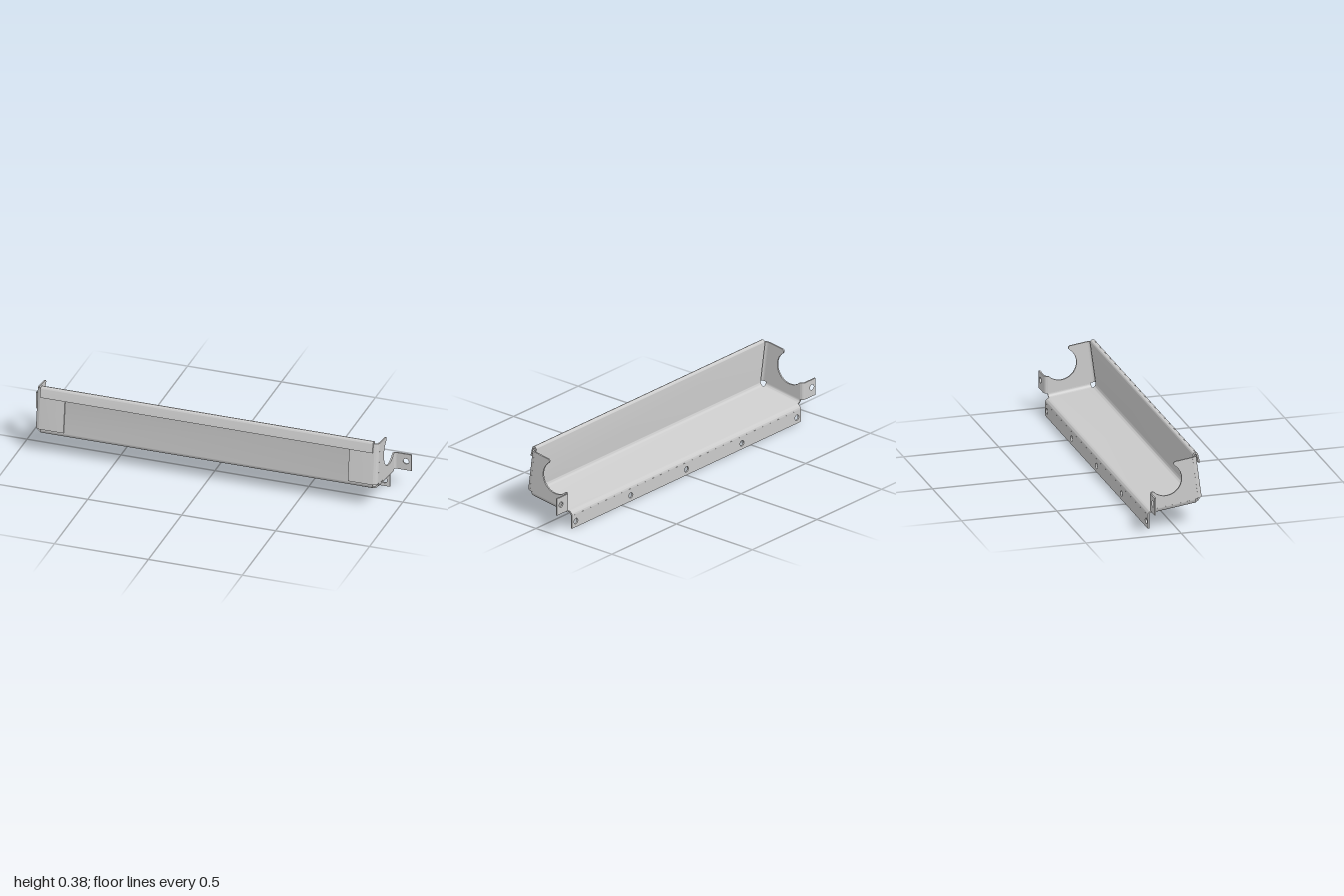
import * as THREE from 'three';
import { toCreasedNormals } from 'three/addons/utils/BufferGeometryUtils.js';

const T = 0.008;                                  // sheet thickness
const TILT = THREE.MathUtils.degToRad(7.6);       // slope of the tray
const HALF = 0.885;                               // half length of the main sheet
const material = new THREE.MeshStandardMaterial({ color: 0xcccccc });

const v = (x, y) => new THREE.Vector2(x, y);
// Tray coordinates (depth, height) to world (z, y)
const tilt = (z, y) => v(z, y).rotateAround(v(0, 0), TILT);

function arc(cx, cy, r, fromDeg, toDeg) {
  const n = Math.max(4, Math.ceil(Math.abs(toDeg - fromDeg) / 7));
  return Array.from({ length: n + 1 }, (_, i) => {
    const a = THREE.MathUtils.degToRad(fromDeg + (toDeg - fromDeg) * i / n);
    return v(cx + r * Math.cos(a), cy + r * Math.sin(a));
  });
}

// Thickens a centre line into a closed sheet-metal cross-section
function sheet(path) {
  const a = [], b = [];
  path.forEach((p, i) => {
    const d = path[Math.min(i + 1, path.length - 1)].clone().sub(path[Math.max(i - 1, 0)]).normalize();
    const n = v(-d.y, d.x).multiplyScalar(T / 2);
    a.push(p.clone().add(n));
    b.unshift(p.clone().sub(n));
  });
  return new THREE.Shape([...a, ...b]);
}

// Extrusion centred on the shape's plane
function extrude(shape, depth) {
  const g = new THREE.ExtrudeGeometry(shape, { depth, bevelEnabled: false, curveSegments: 16 });
  return g.translate(0, 0, -depth / 2);
}
const alongX = (shape, depth) => extrude(shape, depth).rotateY(-Math.PI / 2);
const alongY = (shape, y0, y1) => extrude(shape, y1 - y0).rotateX(Math.PI / 2).translate(0, (y0 + y1) / 2, 0);

// Flat rectangular plate with round screw holes
function plate(x0, x1, y0, y1, holes, r) {
  const s = new THREE.Shape([v(x0, y0), v(x1, y0), v(x1, y1), v(x0, y1)]);
  for (const [x, y] of holes) {
    s.holes.push(new THREE.Path().absarc(x, y, r, 0, Math.PI * 2, true));
  }
  return extrude(s, T);
}

function add(parent, name, geometry) {
  const mesh = new THREE.Mesh(toCreasedNormals(geometry, 0.5), material);
  mesh.name = name;
  parent.add(mesh);
  return mesh;
}

export function createModel() {
  const model = new THREE.Group();
  model.name = 'mountingTray';

  // Main sheet: back bend, sloping floor, front bend, front wall and folded hem
  const deg = THREE.MathUtils.radToDeg(TILT);
  const tray = [
    ...arc(0.122, 0.129, 0.025, -90, 0),
    ...arc(0.157, 0.348, 0.010, 180, 6),
    v(0.1716, 0.304),
  ].map(p => tilt(p.x, p.y));
  const backBend = arc(-0.1162, 0.0695, 0.0198, 180, 90 + deg);
  add(model, 'traySheet', alongX(sheet([...backBend, ...tray]), 2 * HALF));

  // Hanging back flange with a row of screw holes
  const holes = [-0.855, -0.43, 0, 0.43, 0.855].map(x => [x, 0.032]);
  add(model, 'backFlange', plate(-HALF, HALF, 0, 0.0695, holes, 0.015)).position.z = -0.136;

  for (const s of [1, -1]) {
    const end = new THREE.Group();
    end.name = s > 0 ? 'leftEnd' : 'rightEnd';
    model.add(end);
    const side = pts => pts.map(p => v(s * p.x, p.y));

    // End plate with rounded tip and large circular cut-out
    const tip = tilt(0.044, 0.338);
    const outline = new THREE.Shape([
      tilt(0.122, 0.125), tilt(0.122, 0.128), tilt(0.134, 0.128), tilt(0.134, 0.349),
      ...arc(tip.x, tip.y, 0.011, 90 + deg, 235),
      ...arc(-0.055, 0.26, 0.085, 54, -135),
      v(-0.12, 0.201), v(-0.12, 0.11),
    ]);
    add(end, 'endPlate', alongX(outline, T)).position.x = s * 0.906;

    // Ear bent outwards, with one screw hole
    add(end, 'earBend', alongY(sheet(side(arc(0.922, -0.12, 0.016, 180, 270))), 0.11, 0.201));
    add(end, 'ear', plate(s * 0.922, s, 0.11, 0.201, [[s * 0.97, 0.16]], 0.015)).position.z = -0.136;

    // Parts that follow the slope of the tray
    const sloped = new THREE.Group();
    sloped.name = 'slopedBends';
    sloped.rotation.x = -TILT;
    end.add(sloped);

    // Bend joining floor and end plate
    const floorBend = extrude(sheet(side(arc(0.885, 0.125, 0.021, -90, 0))), 0.228);
    add(sloped, 'floorBend', floorBend).position.z = 0.008;

    // Tab wrapped round the corner over the front wall
    const tab = [...arc(0.885, 0.134, 0.021, 0, 90), v(0.757, 0.155)];
    add(sloped, 'frontTab', alongY(sheet(side(tab)), 0.128, 0.349));
  }
  return model;
}
